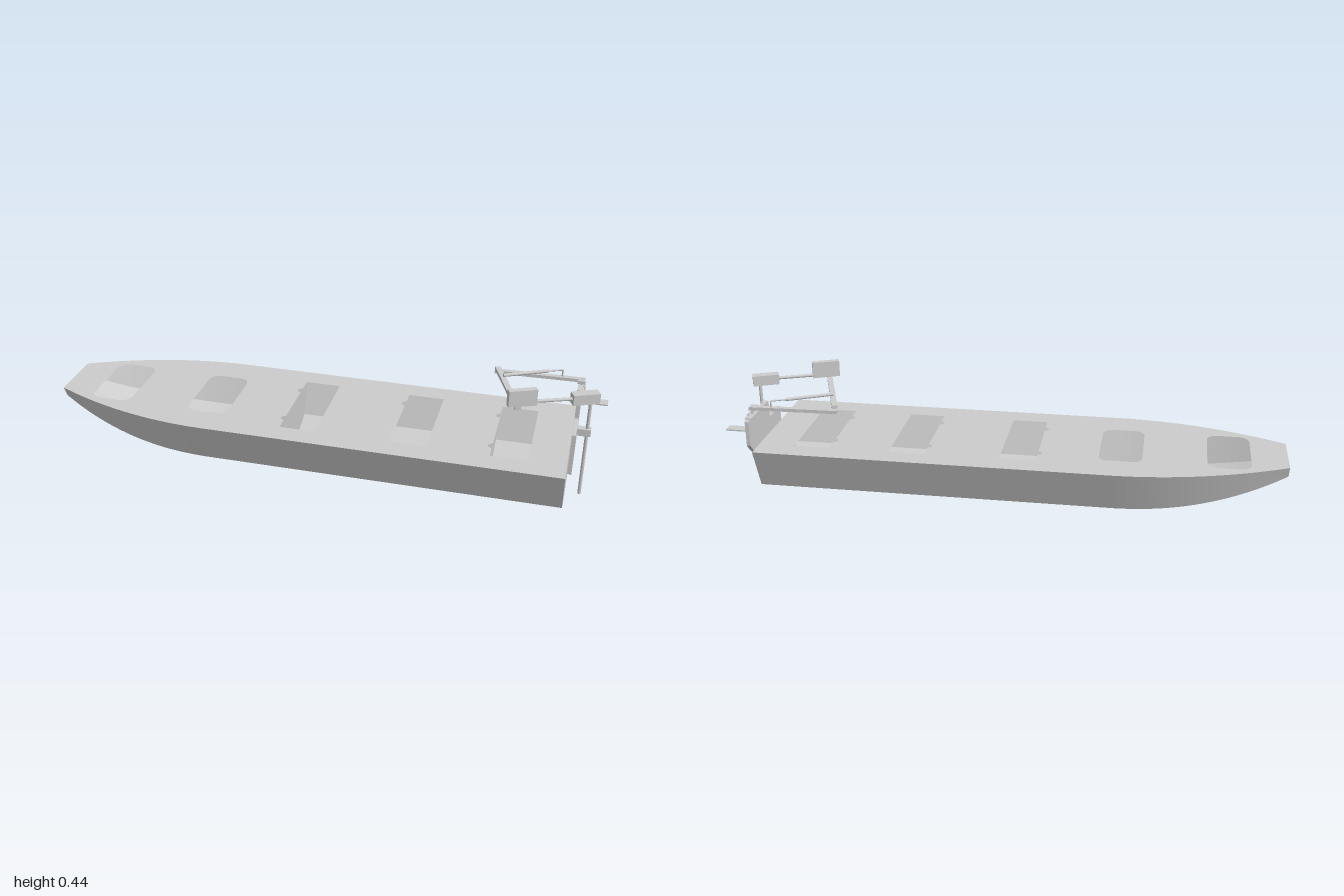
import * as THREE from 'three';

const mat = new THREE.MeshStandardMaterial({ color: 0xcccccc, side: THREE.DoubleSide });
const V = (x, y, z) => new THREE.Vector3(x, y, z);
const STERN = 0.89, BOW = -1, DECK = 0.212;

function add(parent, name, geo) {
  const mesh = new THREE.Mesh(geo, mat);
  mesh.name = name;
  parent.add(mesh);
  return mesh;
}

function box(parent, name, min, max) {
  const g = new THREE.BoxGeometry(max[0] - min[0], max[1] - min[1], max[2] - min[2]);
  g.translate((min[0] + max[0]) / 2, (min[1] + max[1]) / 2, (min[2] + max[2]) / 2);
  return add(parent, name, g);
}

function turnedBox(parent, name, size, pos, angle) {
  const mesh = add(parent, name, new THREE.BoxGeometry(...size));
  mesh.position.set(...pos);
  mesh.rotation.y = angle;
  return mesh;
}

function rod(parent, name, a, b, r, sides = 12) {
  const mesh = add(parent, name, new THREE.CylinderGeometry(r, r, a.distanceTo(b), sides));
  mesh.position.copy(a).add(b).multiplyScalar(0.5);
  mesh.quaternion.setFromUnitVectors(V(0, 1, 0), b.clone().sub(a).normalize());
  return mesh;
}

// flat bar between two points at the same height
function bar(parent, name, a, b, width, height) {
  const mid = a.clone().add(b).multiplyScalar(0.5);
  return turnedBox(parent, name, [a.distanceTo(b), height, width], mid.toArray(),
    -Math.atan2(b.z - a.z, b.x - a.x));
}

// half section at x: bottom edge, chine, gunwale as [z, y]
function section(x) {
  const t = Math.max(0, (-0.38 - x) / 0.62);
  return [
    [0.065 - 0.015 * t * t, 0.155 * t ** 2.1],
    [0.2 - 0.115 * t * t, 0.058 + 0.112 * t ** 2.3],
    [0.26 - 0.155 * t * t, DECK],
  ];
}

function stations() {
  const xs = [];
  for (let i = 0; i <= 28; i++) xs.push(BOW + 0.62 * i / 28);
  xs.push(STERN);
  return xs;
}

// full section ring, port gunwale round to starboard gunwale
function ring(x) {
  const s = section(x);
  return [...s.slice().reverse().map(([z, y]) => [-z, y]), ...s];
}

// one smooth strip per hull panel so the chines stay sharp
function panel(i) {
  const pos = [], idx = [];
  stations().forEach((x, k) => {
    const r = ring(x);
    for (const p of [r[i], r[i + 1]]) pos.push(x, p[1], p[0]);
    if (k) {
      const a = 2 * k - 2;
      idx.push(a, a + 2, a + 1, a + 1, a + 2, a + 3);
    }
  });
  const g = new THREE.BufferGeometry();
  g.setAttribute('position', new THREE.Float32BufferAttribute(pos, 3));
  g.setIndex(idx);
  g.computeVertexNormals();
  return g;
}

// upright plate across the hull that fills its section
function crossPlate(x) {
  const shape = new THREE.Shape(ring(x).map(([z, y]) => new THREE.Vector2(-z, y)));
  return new THREE.ShapeGeometry(shape).rotateY(Math.PI / 2).translate(x, 0, 0);
}

function roundedHole(x0, x1, z0, z1, r) {
  const p = new THREE.Path();
  p.absarc(x1 - r, z0 + r, r, -Math.PI / 2, 0);
  p.absarc(x1 - r, z1 - r, r, 0, Math.PI / 2);
  p.absarc(x0 + r, z1 - r, r, Math.PI / 2, Math.PI);
  p.absarc(x0 + r, z0 + r, r, Math.PI, 1.5 * Math.PI);
  p.closePath();
  return p;
}

// seat well with two finger notches on its forward edge
function notchedHole(x0, x1) {
  const p = new THREE.Path();
  p.moveTo(x0, -0.18);
  p.lineTo(x1, -0.18);
  p.lineTo(x1, 0.177);
  p.lineTo(x0, 0.177);
  for (const z of [0.11, -0.11]) p.absarc(x0, z, 0.015, Math.PI / 2, 1.5 * Math.PI);
  p.closePath();
  return p;
}

function buildHull() {
  const hull = new THREE.Group();
  hull.name = 'hull';
  const names = ['rightSide', 'rightChine', 'bottom', 'leftChine', 'leftSide'];
  names.forEach((n, i) => add(hull, n, panel(i)));
  add(hull, 'transom', crossPlate(STERN));
  add(hull, 'bowPlate', crossPlate(BOW));
  for (const x of [-0.137, 0.613]) add(hull, 'bulkhead', crossPlate(x)).scale.set(1, 0.985, 0.985);
  box(hull, 'keelStrip', [-0.4, 0, -0.004], [STERN, 0.008, 0.004]);

  // deck with five openings
  const xs = stations();
  const edge = (x, s) => new THREE.Vector2(x, s * section(x)[2][0]);
  const deck = new THREE.Shape([...xs.map(x => edge(x, -1)), ...xs.slice().reverse().map(x => edge(x, 1))]);
  for (const x of [-0.87, -0.49]) deck.holes.push(roundedHole(x, x + 0.153, -0.142, 0.142, 0.04));
  for (const x of [-0.12, 0.28, 0.63]) deck.holes.push(notchedHole(x, x + 0.13));
  add(hull, 'deck', new THREE.ShapeGeometry(deck, 8).rotateX(Math.PI / 2).translate(0, DECK, 0));
  return hull;
}

function buildMotorBoard() {
  const pts = [[0.057, 0.105], [0.057, 0.267], [-0.055, 0.267], [-0.055, 0.332],
    [-0.26, 0.332], [-0.26, 0.235], [-0.13, 0.105]];
  // round every corner a little
  const shape = new THREE.Shape();
  pts.forEach((p, i) => {
    const c = new THREE.Vector2(-p[0], p[1]);
    const toward = q => c.clone().add(new THREE.Vector2(-q[0], q[1]).sub(c).setLength(0.007));
    const a = toward(pts[(i + 6) % 7]), b = toward(pts[(i + 1) % 7]);
    if (i) shape.lineTo(a.x, a.y); else shape.moveTo(a.x, a.y);
    shape.quadraticCurveTo(c.x, c.y, b.x, b.y);
  });
  shape.closePath();
  const g = new THREE.ExtrudeGeometry(shape, { depth: 0.014, bevelEnabled: false, curveSegments: 4 });
  return g.rotateY(Math.PI / 2).translate(0.892, 0, 0);
}

function buildMotor() {
  const motor = new THREE.Group();
  motor.name = 'motor';
  rod(motor, 'shaft', V(0.94, 0, 0), V(0.94, 0.375, 0), 0.006);
  box(motor, 'shaftBracket', [0.904, 0.241, -0.013], [0.953, 0.267, 0.013]);
  turnedBox(motor, 'motorHead', [0.095, 0.038, 0.034], [0.92, 0.39, 0.01], 0.42);
  rod(motor, 'linkRod', V(0.73, 0.39, 0.09), V(0.89, 0.39, 0.025), 0.006);
  turnedBox(motor, 'controlBox', [0.1, 0.06, 0.022], [0.715, 0.41, 0.101], 0.42);
  return motor;
}

function buildSteering() {
  const s = new THREE.Group();
  s.name = 'steeringFrame';
  bar(s, 'crossBar', V(0.6, 0.37, -0.175), V(0.705, 0.37, 0.11), 0.02, 0.013);
  bar(s, 'rearArm', V(0.59, 0.355, -0.18), V(0.905, 0.355, -0.19), 0.018, 0.012);
  rod(s, 'handleGrip', V(0.63, 0.386, -0.092), V(0.78, 0.386, -0.168), 0.006);
  rod(s, 'handleRod', V(0.78, 0.386, -0.168), V(0.83, 0.386, -0.19), 0.003);
  rod(s, 'handlePost', V(0.83, 0.386, -0.19), V(0.83, 0.355, -0.19), 0.003);
  rod(s, 'pivotPost', V(0.9, 0.33, -0.194), V(0.9, 0.362, -0.194), 0.004);
  box(s, 'pivotBlock', [0.885, 0.348, -0.2], [0.912, 0.36, -0.168]);
  box(s, 'topPlate', [0.888, 0.332, -0.243], [0.912, 0.335, -0.145]);
  box(s, 'clampPlate', [0.906, 0.27, -0.213], [0.915, 0.338, -0.175]);
  box(s, 'clampShelf', [0.906, 0.27, -0.213], [1, 0.275, -0.175]);
  return s;
}

export function createModel() {
  const model = new THREE.Group();
  model.name = 'boat';
  model.add(buildHull());
  add(model, 'motorBoard', buildMotorBoard());
  model.add(buildMotor(), buildSteering());
  return model;
}
